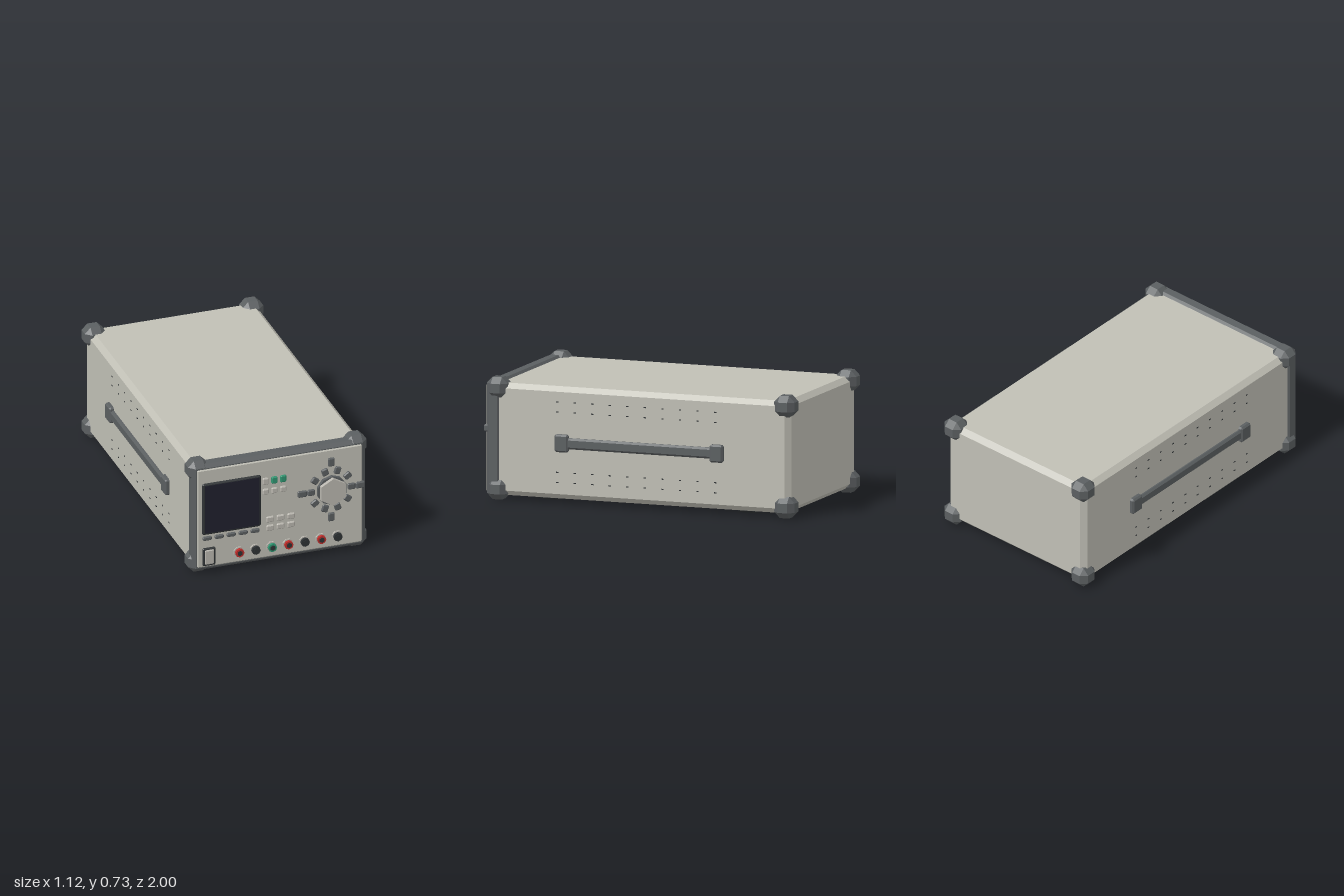
import * as THREE from 'three';
import { ConvexGeometry } from 'three/addons/geometries/ConvexGeometry.js';

const mat = (name, color) => {
  const m = new THREE.MeshStandardMaterial({ color });
  m.name = name;
  return m;
};

// Box with every edge cut at 45 degrees, flat faceted
function chamferBox(w, h, d, c) {
  const pts = [], a = w / 2, b = h / 2, e = d / 2;
  for (const x of [-1, 1]) for (const y of [-1, 1]) for (const z of [-1, 1]) {
    pts.push(new THREE.Vector3(x * a, y * (b - c), z * (e - c)));
    pts.push(new THREE.Vector3(x * (a - c), y * b, z * (e - c)));
    pts.push(new THREE.Vector3(x * (a - c), y * (b - c), z * e));
  }
  return new ConvexGeometry(pts);
}

export function createModel() {
  const root = new THREE.Group();
  root.name = 'benchInstrument';
  const beige = mat('caseBeige', 0xc0bfb5);
  const grey = mat('trimGrey', 0x5b5f61);
  const black = mat('darkPlastic', 0x2e3234);
  const glass = mat('screenGlass', 0x20202d);
  const light = mat('keyLightGrey', 0xbab7af);
  const green = mat('green', 0x2f9470);
  const red = mat('red', 0xbf2f2c);

  const add = (name, geo, m, x, y, z, parent = root) => {
    const mesh = new THREE.Mesh(geo, m);
    mesh.name = name;
    mesh.position.set(x, y, z);
    parent.add(mesh);
    return mesh;
  };
  const group = (name) => {
    const g = new THREE.Group();
    g.name = name;
    root.add(g);
    return g;
  };

  // Case, front bezel and front panel
  const FRONT = 0.955;
  add('case', chamferBox(1.06, 0.67, 1.87, 0.03), beige, 0, 0.365, -0.035);
  add('frontBezel', chamferBox(1.08, 0.695, 0.09, 0.02), grey, 0, 0.366, 0.903);
  add('frontPanel', chamferBox(1.034, 0.65, 0.04, 0.01), beige, 0, 0.366, FRONT - 0.02);

  // Corner bumpers
  const bumpers = group('cornerBumpers');
  const bumperGeo = chamferBox(0.13, 0.128, 0.13, 0.036);
  for (const x of [-0.492, 0.492]) for (const y of [0.067, 0.669]) for (const z of [-0.935, 0.882])
    add('cornerBumper', bumperGeo, grey, x, y, z, bumpers);

  // Feet
  const feet = group('feet');
  const footGeo = chamferBox(0.11, 0.06, 0.125, 0.012);
  for (const x of [-0.357, 0.357]) for (const z of [0.6, -0.65])
    add('foot', footGeo, black, x, 0.031, z, feet);

  // Side handles and vent marks
  const ventGeo = new THREE.BoxGeometry(0.004, 0.006, 0.014);
  for (const s of [-1, 1]) {
    const side = group(s > 0 ? 'leftSide' : 'rightSide');
    add('handleBar', chamferBox(0.036, 0.066, 0.96, 0.012), grey, s * 0.532, 0.366, -0.023, side);
    for (const z of [0.467, -0.513])
      add('handleEnd', chamferBox(0.05, 0.105, 0.086, 0.01), grey, s * 0.533, 0.366, z, side);
    for (let i = 0; i < 10; i++) for (const y of [0.13, 0.19, 0.55, 0.61])
      add('vent', ventGeo, black, s * 0.53, y, 0.5 - i / 9, side);
  }

  // Raised key on the front panel
  const keys = group('keys');
  const key = (name, m, x, y, w, h, angle = 0, rise = 0.012) => {
    const k = add(name, chamferBox(w, h, 0.03, 0.006), m, x, y, FRONT + rise - 0.015, keys);
    k.rotation.z = angle;
    return k;
  };

  // Display
  add('displayFrame', chamferBox(0.367, 0.338, 0.03, 0.009), black, -0.303, 0.429, FRONT - 0.004);
  add('displayGlass', new THREE.BoxGeometry(0.338, 0.312, 0.006), glass, -0.302, 0.43, FRONT + 0.011);
  for (let i = 0; i < 5; i++) key('softKey', grey, -0.454 + i * 0.0748, 0.235, 0.055, 0.026);

  // Power switch
  key('powerSwitchFrame', black, -0.443, 0.114, 0.08, 0.116);
  key('powerSwitchRocker', light, -0.443, 0.114, 0.058, 0.096, 0, 0.018);

  // Key rows
  for (let i = 0; i < 3; i++) {
    const x = -0.09 + i * 0.055, x2 = -0.062 + i * 0.065;
    key('outputKey', i ? green : light, x, 0.55, 0.037, 0.045);
    key('modeKey', light, x, 0.482, 0.038, 0.037);
    key('rangeKey', light, x2, 0.295, 0.047, 0.037);
    key('rangeKey', light, x2, 0.239, 0.047, 0.037);
  }

  // Dial with its ring of keys
  const KX = 0.32, KY = 0.426;
  const disc = (name, r, sides, z0, z1, m, x, y, turn, parent) => {
    const geo = new THREE.CylinderGeometry(r, r, z1 - z0, sides).toNonIndexed();
    geo.rotateX(Math.PI / 2).rotateZ(turn);
    geo.computeVertexNormals();
    return add(name, geo, m, x, y, (z0 + z1) / 2, parent);
  };
  const dial = group('dial');
  disc('dialBase', 0.093, 10, 0.94, 0.976, grey, KX, KY, 0, dial);
  disc('dialKnob', 0.088, 6, 0.97, 1, light, KX, KY, Math.PI / 6 * 3 + Math.PI / 2, dial);
  for (let i = 0; i < 10; i++) {
    const a = i * Math.PI / 5;
    key('ringKey', grey, KX + 0.126 * Math.cos(a), KY + 0.126 * Math.sin(a), 0.046, 0.04, a);
  }
  for (let i = 0; i < 4; i++) {
    const a = i * Math.PI / 2;
    key('arrowKey', grey, KX + 0.181 * Math.cos(a), KY + 0.181 * Math.sin(a), 0.055, 0.041, a);
  }

  // Output terminals
  const terminals = group('terminals');
  [red, black, green, red, black, red, black].forEach((m, i) => {
    const x = -0.257 + i * 0.1022, y = 0.113;
    disc('terminalNut', 0.034, 8, 0.94, 0.964, light, x, y, Math.PI / 8, terminals);
    disc('terminalCollar', 0.027, 8, 0.95, 0.982, m, x, y, 0, terminals);
    disc('terminalSocket', 0.017, 6, 0.96, 0.985, black, x, y, 0, terminals);
  });

  return root;
}
